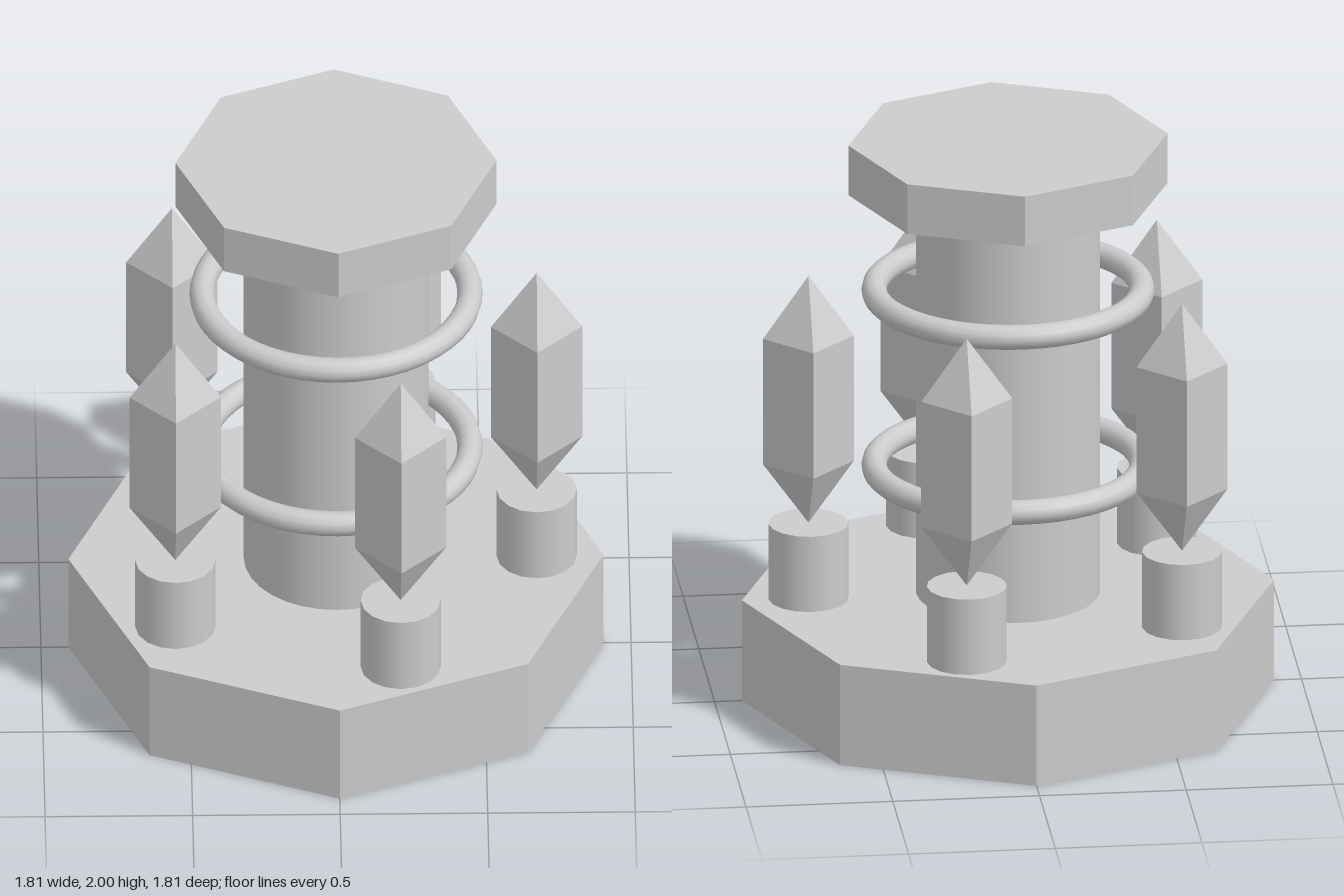
import * as THREE from 'three';

export function createModel() {
  const model = new THREE.Group();
  const stone = new THREE.MeshStandardMaterial({ color: 0xcccccc });
  stone.name = 'paleStone';
  const facetedStone = stone.clone();
  facetedStone.name = 'paleStoneFaceted';
  facetedStone.flatShading = true;

  function add(name, geometry, material, x, y, z) {
    const mesh = new THREE.Mesh(geometry, material);
    mesh.name = name;
    mesh.position.set(x, y, z);
    model.add(mesh);
    return mesh;
  }

  // Upright prism or cylinder between two heights
  function drum(name, radius, bottom, top, sides, material, x = 0, z = 0) {
    const geometry = new THREE.CylinderGeometry(radius, radius, top - bottom, sides);
    return add(name, geometry, material, x, (bottom + top) / 2, z);
  }

  // Octagonal base and cap joined by a round column
  drum('base', 0.907, 0, 0.364, 8, facetedStone);
  drum('column', 0.313, 0.364, 1.82, 32, stone);
  drum('cap', 0.544, 1.82, 2, 8, facetedStone);

  // Rings floating around the column
  for (const y of [0.82, 1.456]) {
    const ring = add('ring', new THREE.TorusGeometry(0.454, 0.043, 12, 48), stone, 0, y, 0);
    ring.rotation.x = Math.PI / 2;
  }

  // Four-sided crystal, pointed at both ends
  const profile = [[0, 0.637], [0.155, 0.855], [0.155, 1.31], [0, 1.533]];
  const crystal = new THREE.LatheGeometry(profile.map(([r, y]) => new THREE.Vector2(r, y)), 4);

  // Five crystals, each balanced on a small pedestal
  for (let i = 0; i < 5; i++) {
    const angle = (i * Math.PI * 2) / 5;
    const x = 0.68 * Math.cos(angle);
    const z = 0.68 * Math.sin(angle);
    drum('pedestal', 0.136, 0.364, 0.637, 16, stone, x, z);
    add('crystal', crystal, facetedStone, x, 0, z);
  }

  return model;
}
